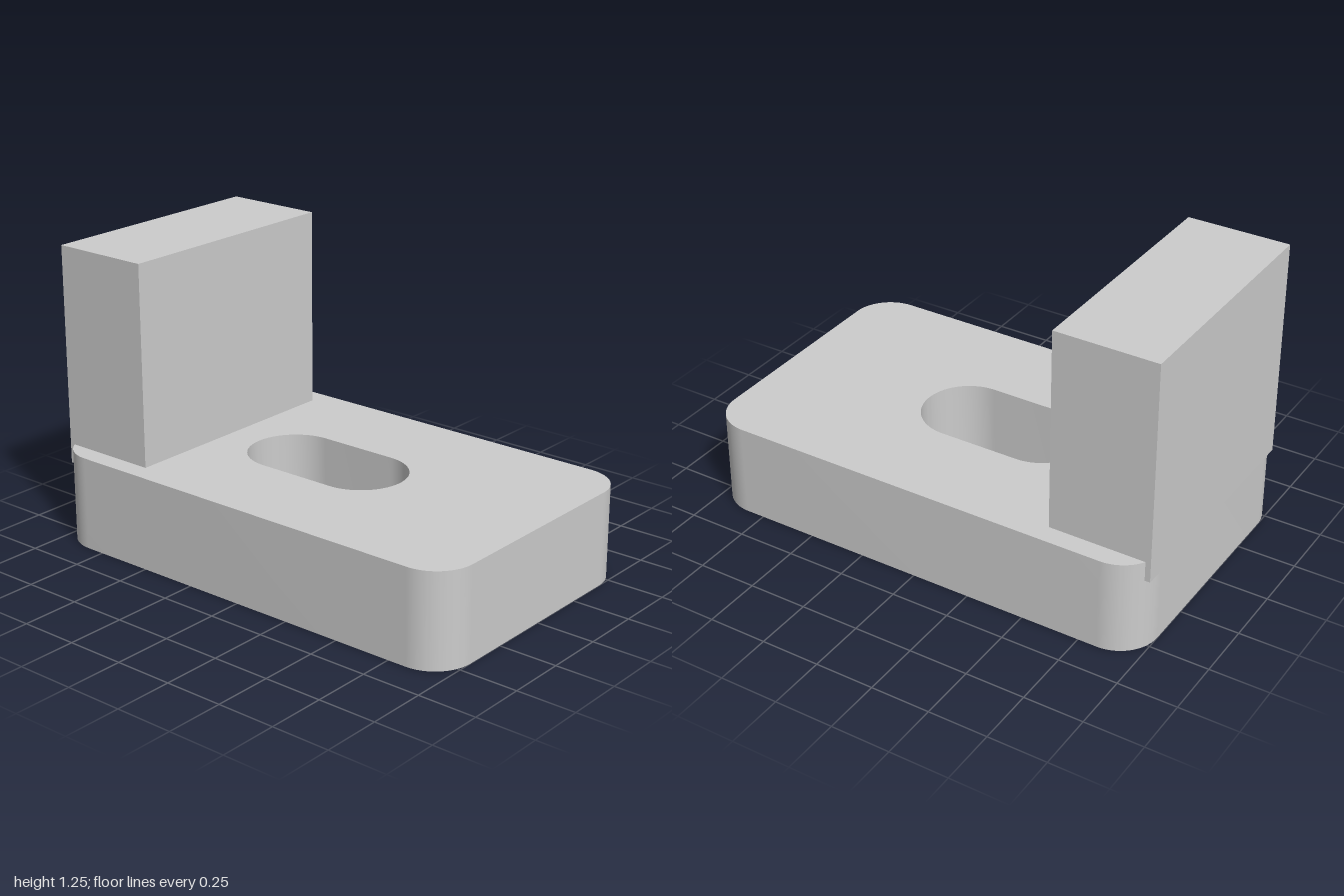
import * as THREE from 'three';
import { toCreasedNormals } from 'three/addons/utils/BufferGeometryUtils.js';

// Traces a rectangle with rounded corners; a full radius gives a slot
function roundedRect(path, cx, halfW, halfD, r) {
  const x = halfW - r, y = halfD - r;
  path.absarc(cx + x, y, r, 0, Math.PI / 2);
  path.absarc(cx - x, y, r, Math.PI / 2, Math.PI);
  path.absarc(cx - x, -y, r, Math.PI, Math.PI * 1.5);
  path.absarc(cx + x, -y, r, Math.PI * 1.5, Math.PI * 2);
  path.closePath();
  return path;
}

export function createModel() {
  const model = new THREE.Group();
  model.name = 'slottedBracket';
  const grey = new THREE.MeshStandardMaterial({ color: 0xcccccc });
  grey.name = 'light grey';

  // Base plate with rounded corners and a through slot
  const outline = roundedRect(new THREE.Shape(), 0, 1, 0.607, 0.17);
  outline.holes.push(roundedRect(new THREE.Path(), -0.045, 0.37, 0.197, 0.197));
  const plate = new THREE.ExtrudeGeometry(outline, { depth: 0.4, bevelEnabled: false, curveSegments: 16 });
  plate.rotateX(-Math.PI / 2);
  const base = new THREE.Mesh(toCreasedNormals(plate, Math.PI / 6), grey);
  base.name = 'basePlate';
  model.add(base);

  // Upright block, sunk slightly into the plate
  const bottom = 0.315, top = 1.253;
  const block = new THREE.Mesh(new THREE.BoxGeometry(0.435, top - bottom, 1.044), grey);
  block.name = 'uprightBlock';
  block.position.set(-0.7825, (top + bottom) / 2, 0);
  model.add(block);

  return model;
}
